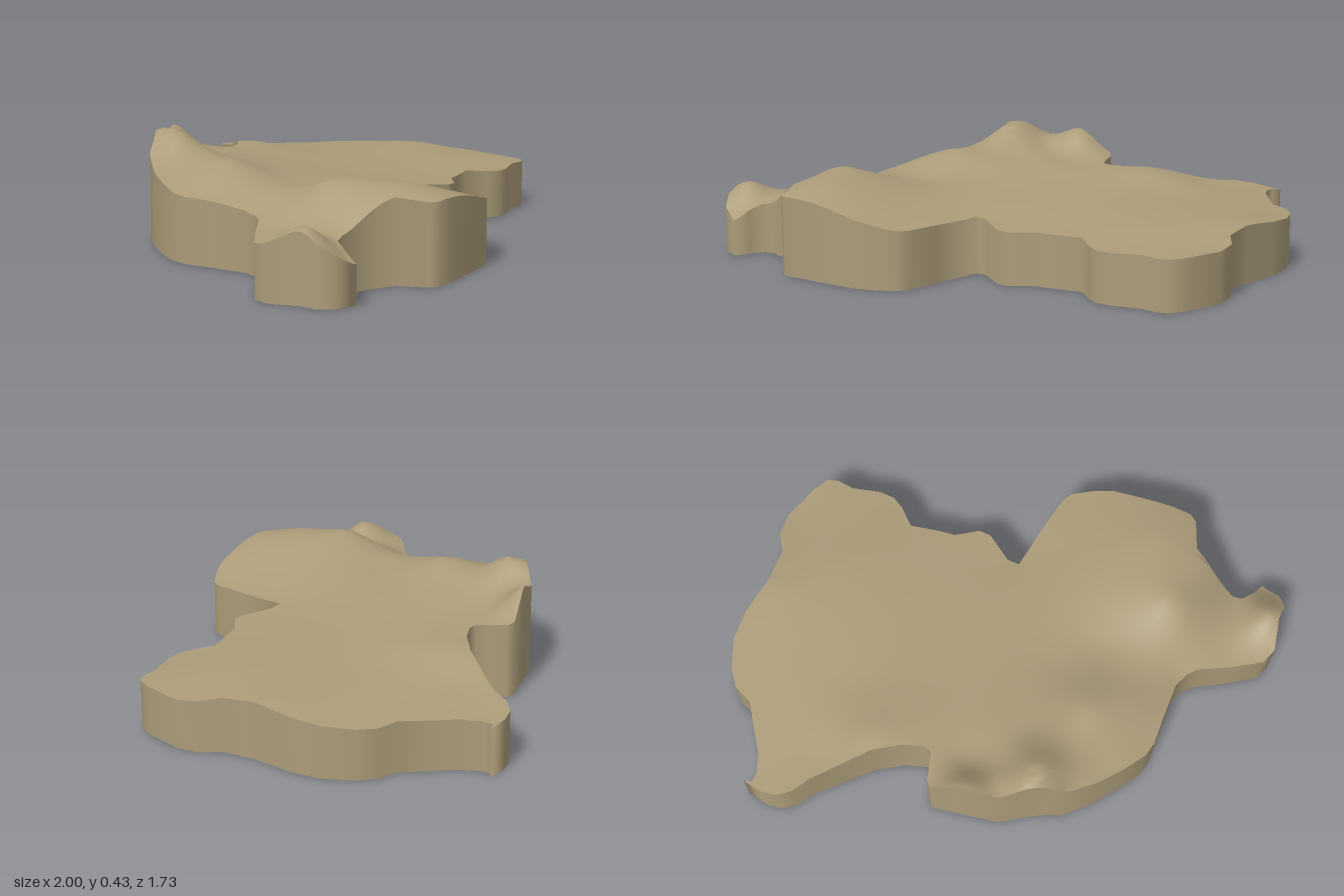
import * as THREE from 'three';

// Coastline as x, z pairs, counter-clockwise seen from above
const OUTLINE = [
  0.63, -0.86, 0.55, -0.87, 0.49, -0.86, 0.44, -0.82, 0.40, -0.75, 0.32, -0.66, 0.23, -0.56, 0.13, -0.49,
  0.05, -0.46, 0.02, -0.47, 0, -0.52, -0.02, -0.58, -0.04, -0.60, -0.30, -0.54, -0.38, -0.48, -0.46, -0.43,
  -0.51, -0.41, -0.60, -0.31, -0.67, -0.21, -0.72, -0.12, -0.73, -0.06, -0.72, 0.05, -0.71, 0.20, -0.73, 0.26,
  -0.76, 0.30, -0.87, 0.37, -0.98, 0.45, -1, 0.51, -0.965, 0.62, -0.965, 0.69, -0.93, 0.74, -0.85, 0.77,
  -0.83, 0.71, -0.80, 0.66, -0.76, 0.65, -0.67, 0.68, -0.56, 0.73, -0.51, 0.84, -0.48, 0.86, -0.40, 0.86,
  -0.15, 0.84, -0.07, 0.81, 0, 0.77, 0.02, 0.73, 0.04, 0.60, 0.06, 0.40, 0.11, 0.40, 0.22, 0.47,
  0.27, 0.47, 0.35, 0.41, 0.41, 0.40, 0.53, 0.37, 0.60, 0.43, 0.65, 0.455, 0.71, 0.455, 0.82, 0.42,
  0.89, 0.425, 0.93, 0.41, 0.96, 0.35, 1, 0.20, 0.99, 0.11, 0.94, 0.04, 0.93, -0.09, 0.95, -0.25,
  0.94, -0.37, 0.89, -0.48, 0.84, -0.54, 0.76, -0.57, 0.70, -0.65, 0.63, -0.74, 0.60, -0.81, 0.60, -0.85,
];

// Spot heights (x, z, y): western hills with a jagged northern rim
const HILLS = [
  [-0.39, -0.38, 0.425], [-0.38, -0.47, 0.41], [-0.46, -0.42, 0.385], [-0.52, -0.4, 0.33], [-0.3, -0.53, 0.36],
  [-0.17, -0.56, 0.39], [-0.04, -0.59, 0.3], [0.01, -0.48, 0.285], [-0.25, -0.42, 0.33], [-0.13, -0.46, 0.305],
  [-0.12, -0.3, 0.29], [-0.28, -0.25, 0.32], [-0.45, -0.25, 0.345], [-0.46, -0.06, 0.342], [-0.6, -0.25, 0.29],
  [-0.72, -0.05, 0.25], [-0.58, 0.05, 0.295], [-0.3, 0.05, 0.28], [-0.4, 0.2, 0.27], [-0.6, 0.22, 0.265],
  [-0.72, 0.24, 0.22], [-0.58, 0.47, 0.34], [-0.7, 0.48, 0.265], [-0.82, 0.42, 0.21], [-0.82, 0.58, 0.212],
  [-1, 0.5, 0.2], [-0.92, 0.62, 0.26], [-0.85, 0.77, 0.14], [-0.76, 0.66, 0.2], [-0.6, 0.7, 0.3],
  [-0.48, 0.85, 0.3], [-0.4, 0.7, 0.33],
];

// Spot heights (x, z, y): low southern and eastern plain
const PLAIN = [
  [-0.25, 0.84, 0.28], [0, 0.77, 0.22], [-0.15, 0.55, 0.26], [0.05, 0.45, 0.215], [-0.1, 0.2, 0.25],
  [0.1, -0.2, 0.255], [0.26, -0.5, 0.275], [0.28, 0.46, 0.2], [0.35, 0.1, 0.225], [0.42, -0.35, 0.23],
  [0.4, -0.65, 0.22], [0.55, -0.86, 0.19], [0.6, -0.4, 0.215], [0.7, 0.1, 0.22], [0.65, 0.45, 0.19],
  [0.92, 0.4, 0.19], [0.99, 0.18, 0.19], [0.9, -0.1, 0.22], [0.88, -0.48, 0.19],
];

// Smooth surface through the spot heights
function makeHeight() {
  const spots = [...HILLS, ...PLAIN], base = 0.25, n = spots.length;
  const kernel = (x, z, s) => Math.sqrt((x - s[0]) ** 2 + (z - s[1]) ** 2 + 0.002);
  const m = spots.map((p) => [...spots.map((s) => kernel(p[0], p[1], s)), p[2] - base]);
  for (let c = 0; c < n; c++) {
    let best = c;
    for (let r = c + 1; r < n; r++) if (Math.abs(m[r][c]) > Math.abs(m[best][c])) best = r;
    [m[c], m[best]] = [m[best], m[c]];
    for (let r = 0; r < n; r++) {
      if (r === c) continue;
      const f = m[r][c] / m[c][c];
      for (let k = c; k <= n; k++) m[r][k] -= f * m[c][k];
    }
  }
  const weights = m.map((row, i) => row[n] / row[i]);
  return (x, z) => spots.reduce((sum, s, i) => sum + weights[i] * kernel(x, z, s), base);
}

function toGeometry(positions, normals) {
  const g = new THREE.BufferGeometry();
  g.setAttribute('position', new THREE.Float32BufferAttribute(positions, 3));
  g.setAttribute('normal', new THREE.Float32BufferAttribute(normals, 3));
  return g;
}

export function createModel() {
  const height = makeHeight();
  const earth = new THREE.MeshStandardMaterial({ name: 'earth', color: 0xab9b78 });
  const group = new THREE.Group();
  group.name = 'terrainSlab';
  const add = (name, geometry) => {
    const mesh = new THREE.Mesh(geometry, earth);
    mesh.name = name;
    group.add(mesh);
  };

  // Plan points, with y holding -z
  const plan = [];
  for (let i = 0; i < OUTLINE.length; i += 2) plan.push(new THREE.Vector2(OUTLINE[i], -OUTLINE[i + 1]));
  const faces = THREE.ShapeUtils.triangulateShape(plan, []);
  const LEVELS = 4, STEPS = 2 ** LEVELS;

  // Rolling top: plan triangles divided evenly and lifted
  const topPos = [], topNor = [], e = 0.01;
  const normal = new THREE.Vector3();
  const emit = (p) => {
    const x = p.x, z = -p.y;
    topPos.push(x, height(x, z), z);
    normal.set(height(x - e, z) - height(x + e, z), 2 * e, height(x, z - e) - height(x, z + e)).normalize();
    topNor.push(normal.x, normal.y, normal.z);
  };
  const divide = (a, b, c, level) => {
    if (level === 0) return [a, b, c].forEach(emit);
    const ab = a.clone().lerp(b, 0.5), bc = b.clone().lerp(c, 0.5), ca = c.clone().lerp(a, 0.5);
    divide(a, ab, ca, level - 1);
    divide(ab, b, bc, level - 1);
    divide(ca, bc, c, level - 1);
    divide(ab, bc, ca, level - 1);
  };
  faces.forEach(([a, b, c]) => divide(plan[a], plan[b], plan[c], LEVELS));
  add('terrainTop', toGeometry(topPos, topNor));

  // Upright cliff following the coastline, softly shaded around corners
  const n = plan.length;
  const edgeNormal = (i) => {
    const d = plan[(i + 1) % n].clone().sub(plan[i % n]).normalize();
    return new THREE.Vector2(d.y, -d.x);
  };
  const cornerNormal = (i) => edgeNormal(i + n - 1).add(edgeNormal(i)).normalize();
  const wallPos = [], wallNor = [];
  for (let i = 0; i < n; i++) {
    const a = plan[i], b = plan[(i + 1) % n], na = cornerNormal(i), nb = cornerNormal(i + 1);
    const vertex = (t, top) => {
      const p = a.clone().lerp(b, t), d = na.clone().lerp(nb, t).normalize();
      wallPos.push(p.x, top ? height(p.x, -p.y) : 0, -p.y);
      wallNor.push(d.x, 0, -d.y);
    };
    for (let k = 0; k < STEPS; k++) {
      const t = k / STEPS, u = (k + 1) / STEPS;
      [[t, 0], [u, 0], [u, 1], [t, 0], [u, 1], [t, 1]].forEach(([s, top]) => vertex(s, top));
    }
  }
  add('cliffWall', toGeometry(wallPos, wallNor));

  // Flat underside
  const basePos = [], baseNor = [];
  faces.forEach(([a, b, c]) => [a, c, b].forEach((i) => {
    basePos.push(plan[i].x, 0, -plan[i].y);
    baseNor.push(0, -1, 0);
  }));
  add('underside', toGeometry(basePos, baseNor));

  return group;
}
